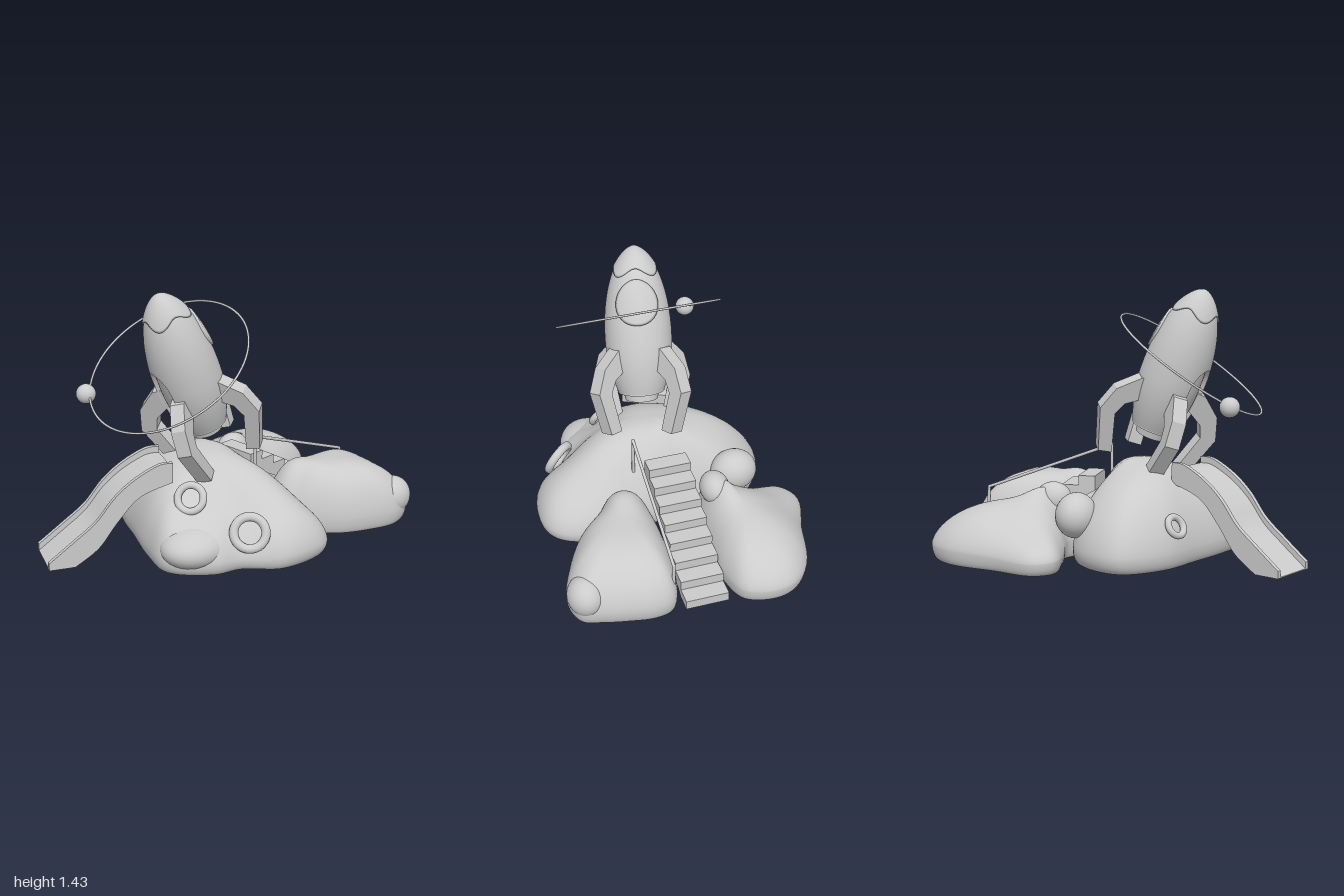
import * as THREE from 'three';
import { ParametricGeometry } from 'three/addons/geometries/ParametricGeometry.js';
import { mergeVertices } from 'three/addons/utils/BufferGeometryUtils.js';

const smooth = new THREE.MeshStandardMaterial({ color: 0xcccccc, side: THREE.DoubleSide });
const flat = new THREE.MeshStandardMaterial({ color: 0xcccccc, side: THREE.DoubleSide, flatShading: true });
const V = (x, y, z) => new THREE.Vector3(x, y, z);
const TAU = Math.PI * 2;

function add(parent, name, geometry, material = smooth, position = [0, 0, 0]) {
  const mesh = new THREE.Mesh(geometry, material);
  mesh.name = name;
  mesh.position.set(...position);
  parent.add(mesh);
  return mesh;
}

// Smooth welded surface from a function (u, v, target)
function surface(fn, nu, nv) {
  const g = new ParametricGeometry(fn, nu, nv);
  g.deleteAttribute('uv');
  g.deleteAttribute('normal');
  const merged = mergeVertices(g, 1e-5);
  merged.computeVertexNormals();
  return merged;
}

// Flat-bottomed boulder: plan outline swept up into a dome, plus soft bumps [x, z, height, radius]
function rock({ outline, center: [cx, cz], height, power, round, bumps }) {
  const curve = new THREE.CatmullRomCurve3(outline.map(([x, z]) => V(x, 0, z)), true);
  const shoulder = 0.08;
  return surface((u, v, out) => {
    let rho, y;
    if (v < 0.2) { rho = 0.92 * v / 0.2; y = 0; }
    else if (v < 0.35) {
      const a = (v - 0.2) / 0.15 * Math.PI / 2;
      rho = 0.92 + 0.08 * Math.sin(a);
      y = shoulder * (1 - Math.cos(a));
    } else {
      rho = Math.cos((v - 0.35) / 0.65 * Math.PI / 2);
      if (rho < 1e-6) rho = 0;
      y = shoulder + (height - shoulder) * Math.pow(1 - Math.pow(rho, power), round);
    }
    const p = curve.getPoint((1 - u) % 1);
    const x = cx + (p.x - cx) * rho, z = cz + (p.z - cz) * rho;
    const lift = y / height;
    for (const [bx, bz, h, r] of bumps) y += lift * h * Math.exp(-((x - bx) ** 2 + (z - bz) ** 2) / (r * r));
    out.set(x, y, z);
  }, 96, 48);
}

function addRocks(model) {
  const group = new THREE.Group();
  group.name = 'rocks';
  model.add(group);
  add(group, 'mainRock', rock({
    outline: [[0.65, -0.2], [0.69, -0.1], [0.655, 0.13], [0.5, 0.29], [0.44, 0.45], [0.24, 0.61], [0.03, 0.55],
      [-0.23, 0.42], [-0.47, 0.29], [-0.62, 0.08], [-0.55, -0.1], [-0.39, -0.22], [-0.13, -0.21], [0.14, -0.25],
      [0.4, -0.28], [0.56, -0.26]],
    center: [0.03, 0.12], height: 0.505, power: 2.3, round: 0.63,
    bumps: [[0.26, 0.42, -0.13, 0.2], [0.52, 0.22, -0.14, 0.17], [0.5, -0.22, -0.12, 0.2], [0.2, -0.24, -0.08, 0.15],
      [-0.02, -0.08, 0.05, 0.13]] }));
  add(group, 'backRightRock', rock({
    outline: [[-0.34, -1], [-0.19, -0.95], [-0.13, -0.79], [-0.12, -0.55], [-0.13, -0.3], [-0.18, -0.21],
      [-0.3, -0.27], [-0.45, -0.25], [-0.66, -0.24], [-0.73, -0.34], [-0.66, -0.58], [-0.58, -0.85], [-0.47, -0.97]],
    center: [-0.33, -0.54], height: 0.31, power: 2.2, round: 0.64,
    bumps: [[-0.22, -0.38, 0.11, 0.15], [-0.62, -0.38, -0.08, 0.2]] }));
  add(group, 'backLeftRock', rock({
    outline: [[0.28, -0.95], [0.43, -0.93], [0.56, -0.9], [0.67, -0.86], [0.71, -0.74], [0.66, -0.58], [0.57, -0.42],
      [0.43, -0.29], [0.35, -0.2], [0.27, -0.18], [0.16, -0.24], [0.12, -0.4], [0.115, -0.61], [0.13, -0.79], [0.18, -0.92]],
    center: [0.34, -0.52], height: 0.36, power: 2.8, round: 0.58, bumps: [[0.26, -0.3, 0.06, 0.14]] }));
  // Knobs: position, radii
  [[[-0.39, 0.26, -0.2], [0.13, 0.12, 0.11]],
    [[0.27, 0.125, 0.42], [0.17, 0.115, 0.205]],
    [[0.62, 0.14, -0.79], [0.1, 0.11, 0.11]],
    [[-0.22, 0.31, -0.37], [0.08, 0.09, 0.1]]].forEach(([pos, radii]) =>
    add(group, 'rockKnob', new THREE.SphereGeometry(1, 32, 20), smooth, pos).scale.set(...radii));

  // Climbing rings lying against the rock: position, facing, radius, tube
  [[[0.2, 0.355, 0.385], [0.4, 0.5, 0.75], 0.07, 0.02],
    [[0.5, 0.21, 0.25], [0.62, 0.4, 0.68], 0.084, 0.024],
    [[-0.385, 0.225, 0.33], [-0.45, 0.5, 0.75], 0.052, 0.018]].forEach(([pos, dir, r, t]) => {
    const ring = add(group, 'climbingRing', new THREE.TorusGeometry(r, t, 14, 40), smooth, pos);
    ring.lookAt(V(...pos).add(V(...dir)));
  });
}

// Rocket outline radius at height t
const radius = t => t < 0.33 ? 0.182 - 0.65 * (0.33 - t) ** 2
  : 0.182 * Math.pow(Math.max(0, 1 - Math.pow((t - 0.33) / 0.51, 2.2)), 0.6);
const polar = (out, a, t, r) => out.set(r * Math.sin(a), t, r * Math.cos(a));

function addRocket(model) {
  const rocket = new THREE.Group();
  rocket.name = 'rocket';
  rocket.position.set(0.044, 0.64, 0.115);
  rocket.rotation.set(0.358, 0, 0.058);
  model.add(rocket);

  // Hull with an arched doorway left open
  const door = -0.25, bottom = 0.04, archBase = 0.29, archTop = 0.446;
  const halfDoor = t => t >= archTop ? 0
    : 0.55 * (t < archBase ? 1 : Math.pow(1 - ((t - archBase) / (archTop - archBase)) ** 2.3, 0.5));
  const hullPoint = (u, t, out) => {
    const w = halfDoor(t);
    polar(out, door + w + u * (TAU - 2 * w), t, radius(t));
  };
  add(rocket, 'lowerHull', surface((u, v, out) =>
    hullPoint(u, bottom + (archTop - bottom) * Math.sin(v * Math.PI / 2), out), 64, 40));
  add(rocket, 'upperHull', surface((u, v, out) => hullPoint(u, archTop + 0.33 * v, out), 64, 20));
  add(rocket, 'cabinWall', surface((u, v, out) => {
    const t = bottom + 0.45 * v;
    polar(out, u * TAU, t, radius(t) - 0.025);
  }, 48, 16));
  add(rocket, 'cabinFloor', new THREE.CylinderGeometry(radius(bottom), radius(bottom), 0.012, 48), flat, [0, bottom, 0]);
  add(rocket, 'doorFrame', surface((u, v, out) => {
    const s = 2 * u - 1;
    const t = bottom + (archTop - bottom) * Math.sin((1 - Math.abs(s)) * Math.PI / 2);
    polar(out, door + Math.sign(s) * halfDoor(t), t, radius(t) - 0.025 * v);
  }, 80, 1));

  // Nose cap with a scalloped rim that folds back onto the hull
  add(rocket, 'noseCap', surface((u, v, out) => {
    const a = u * TAU;
    const rim = 0.71 + 0.022 * Math.cos(4 * (a - door));
    const s = Math.max(0, (v - 0.05) / 0.95);
    const t = rim + (0.84 - rim) * Math.sin(s * Math.PI / 2);
    polar(out, a, t, v === 0 ? radius(t) - 0.01 : v === 1 ? 0 : radius(t) + 0.009 * (1 - s));
  }, 72, 20));

  // Oval window raised from the back of the hull
  add(rocket, 'backWindow', surface((u, v, out) => {
    const rho = Math.min(1, v / 0.9), a = u * TAU;
    const t = 0.56 + 0.12 * rho * Math.sin(a);
    polar(out, door + Math.PI + 0.7 * rho * Math.cos(a), t, radius(t) + (v > 0.95 ? -0.01 : 0.012));
  }, 48, 10));

  add(rocket, 'engineRing', new THREE.CylinderGeometry(0.1, 0.09, 0.07, 40), smooth, [0, 0.025, 0]);

  // Four bent legs
  const legs = new THREE.Group();
  legs.name = 'legs';
  legs.rotation.set(0.05, 0, 0.04);
  rocket.add(legs);
  const shape = new THREE.Shape([[0.13, 0.3], [0.19, 0.295], [0.3, 0.2], [0.345, 0.07], [0.265, -0.165], [0.19, -0.155],
    [0.255, 0.06], [0.225, 0.13], [0.13, 0.19]].map(p => new THREE.Vector2(...p)));
  const legGeometry = new THREE.ExtrudeGeometry(shape, { depth: 0.08, bevelEnabled: false });
  legGeometry.translate(0, 0, -0.04);
  for (let i = 0; i < 4; i++)
    add(legs, 'leg', legGeometry, flat).rotation.y = 0.5 - Math.PI / 2 + i * Math.PI / 2;
}

function addOrbit(model) {
  add(model, 'orbitRing', new THREE.TorusGeometry(0.453, 0.006, 8, 96), smooth, [-0.007, 1.03, 0.34]).rotation.x = -0.965;
  add(model, 'orbitBall', new THREE.SphereGeometry(0.053, 32, 20), smooth, [-0.362, 0.85, 0.6]);
}

function addSlide(model) {
  const slide = new THREE.Group();
  slide.name = 'slide';
  slide.position.set(-0.355, 0, 0.935);
  slide.rotation.y = Math.atan2(0.892, 0.453);
  model.add(slide);
  // Side profile: x runs uphill from the foot
  const top = [[0, 0.04], [0.14, 0.145], [0.26, 0.24], [0.36, 0.36], [0.47, 0.45], [0.6, 0.515], [0.68, 0.52]];
  const under = [[0.68, 0.41], [0.5, 0.35], [0.38, 0.23], [0.27, 0.09], [0.14, 0]];
  const strip = (drop, width) => {
    const s = new THREE.Shape();
    const pts = a => a.map(([x, y]) => new THREE.Vector2(x, y));
    s.moveTo(0, 0);
    s.lineTo(0, 0.04 - drop);
    s.splineThru(pts(top.slice(1).map(([x, y]) => [x, y - drop])));
    s.lineTo(...under[0]);
    s.splineThru(pts(under.slice(1)));
    return new THREE.ExtrudeGeometry(s, { depth: width, bevelEnabled: false, curveSegments: 24 });
  };
  add(slide, 'slideBed', strip(0.035, 0.24), smooth, [0, 0, -0.12]);
  for (const z of [-0.14, 0.115]) add(slide, 'slideSide', strip(0, 0.025), smooth, [0, 0, z]);
}

function addStairs(model) {
  // Stepped profile with a sloping underside
  const count = 8, run = 0.093, rise = 0.0525;
  const s = new THREE.Shape();
  s.moveTo(0, 0);
  for (let i = 0; i < count; i++) {
    s.lineTo(i * run, (i + 1) * rise);
    s.lineTo((i + 1) * run, (i + 1) * rise);
  }
  s.lineTo(count * run, (count - 1.5) * rise);
  s.lineTo(run, 0);
  const g = new THREE.ExtrudeGeometry(s, { depth: 0.235, bevelEnabled: false });
  add(model, 'stairs', g, flat, [0.115, 0, -0.91]).rotation.y = -Math.PI / 2;

  // Handrail: upper post, sloping bar, lower post
  const pts = [V(0.17, 0.3, -0.14), V(0.17, 0.55, -0.14), V(0.17, 0.28, -0.86), V(0.17, 0.08, -0.87)];
  for (let i = 0; i < 3; i++) {
    add(model, 'handrail', new THREE.TubeGeometry(new THREE.LineCurve3(pts[i], pts[i + 1]), 1, 0.009, 10));
    if (i) add(model, 'handrailJoint', new THREE.SphereGeometry(0.009, 12, 8), smooth, pts[i].toArray());
  }
}

export function createModel() {
  const model = new THREE.Group();
  model.name = 'rocketPlayground';
  addRocks(model);
  addRocket(model);
  addOrbit(model);
  addSlide(model);
  addStairs(model);
  return model;
}
